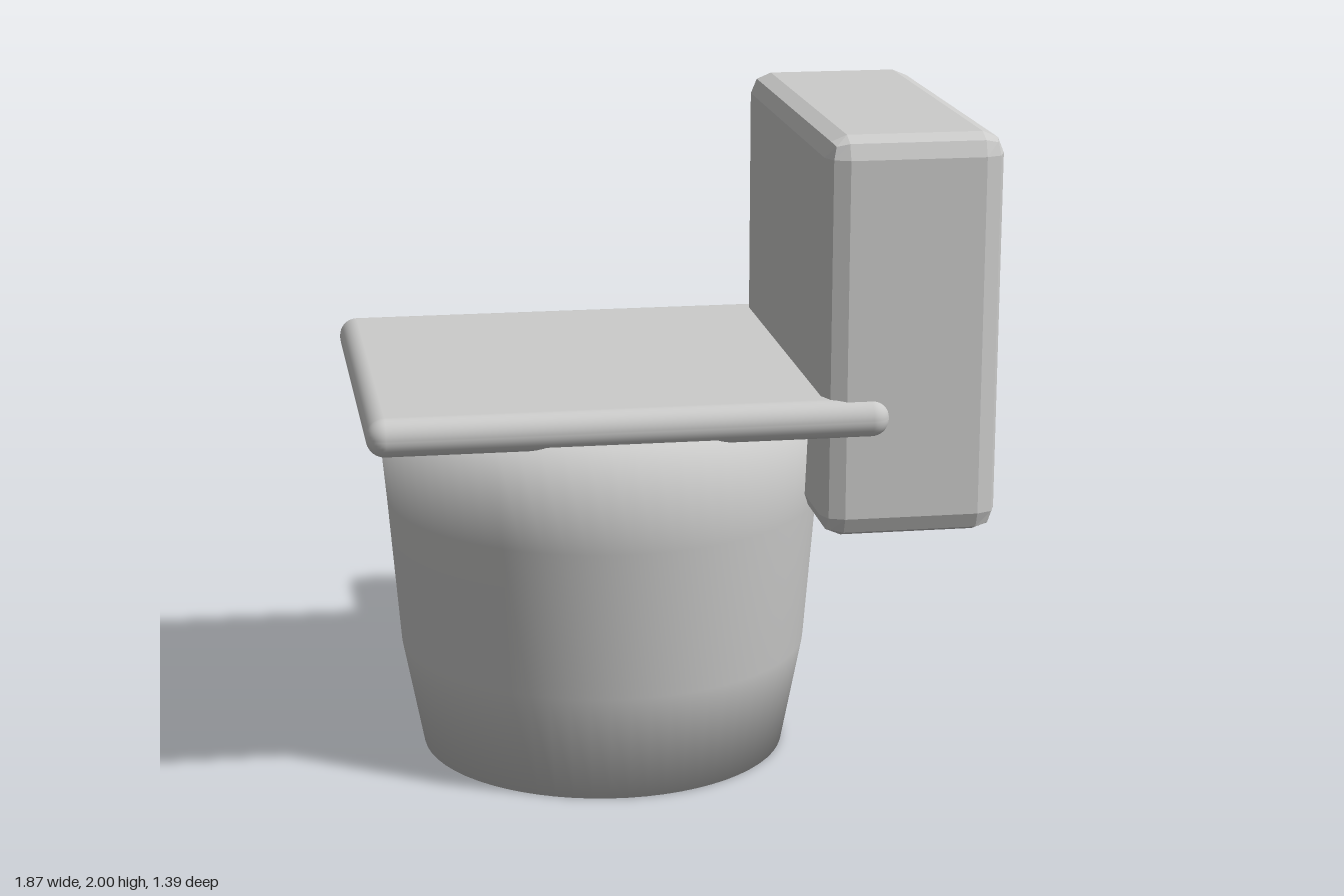
import * as THREE from 'three';
import { RoundedBoxGeometry } from 'three/addons/geometries/RoundedBoxGeometry.js';

export function createModel() {
  const model = new THREE.Group();
  model.name = 'toilet';
  const ceramic = new THREE.MeshStandardMaterial({ color: 0xcccccb });
  ceramic.name = 'light grey ceramic';

  const add = (name, geometry, x, y, z) => {
    const mesh = new THREE.Mesh(geometry, ceramic);
    mesh.name = name;
    mesh.position.set(x, y, z);
    model.add(mesh);
  };

  // Tapered closed bowl, softly shaded over its rims
  const profile = [[0, 0], [0.565, 0], [0.63, 0.34], [0.667, 0.8], [0.697, 1.13], [0, 1.13]];
  add('bowl', new THREE.LatheGeometry(profile.map(([r, y]) => new THREE.Vector2(r, y)), 64), -0.17, 0, 0);

  // Flat lid with fully rounded edges
  add('lid', new RoundedBoxGeometry(1.53, 0.115, 1.33, 5, 0.055), -0.17, 1.17, 0);

  // Upright water tank with faceted two-step bevels
  const tank = new RoundedBoxGeometry(0.53, 1.2, 1.265, 1, 0.065);
  tank.computeVertexNormals();
  add('tank', tank, 0.665, 1.4, 0);

  return model;
}
